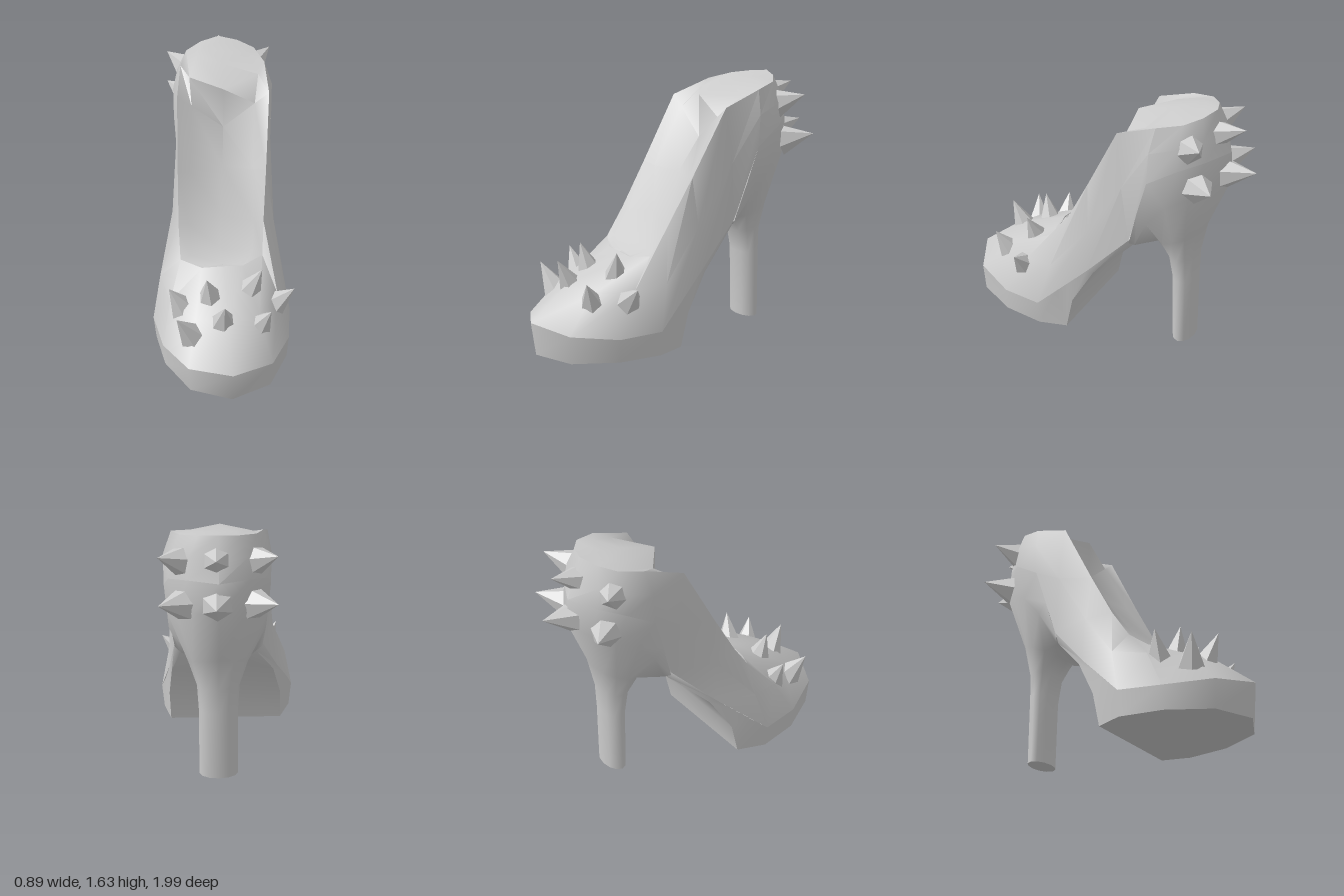
import * as THREE from 'three';
import { toCreasedNormals } from 'three/addons/utils/BufferGeometryUtils.js';

const material = new THREE.MeshStandardMaterial({ color: 0xcccccc, side: THREE.DoubleSide });
const spikeMaterial = new THREE.MeshStandardMaterial({ color: 0xcccccc, flatShading: true });

// The shoe curves gently towards +x at the heel
const centreX = z => 0.08 * THREE.MathUtils.clamp((0.25 - z) / 0.6, 0, 1);

// Mirrors a half ring of [z, y, halfWidth] (toe to heel) into a closed loop
function fullRing(half) {
  const point = ([z, y, w], s) => new THREE.Vector3(centreX(z) + s * w, y, z);
  return [...half.map(p => point(p, 1)), ...half.slice(1, -1).reverse().map(p => point(p, -1))];
}

// Skins a stack of rings, listed so that the outside faces outwards
function loft(name, halfRings, crease) {
  const rings = halfRings.map(fullRing);
  const n = rings[0].length;
  const positions = [], index = [];
  rings.forEach(r => r.forEach(p => positions.push(p.x, p.y, p.z)));
  for (let i = 0; i < rings.length - 1; i++) {
    for (let j = 0; j < n; j++) {
      const a = i * n + j, b = i * n + (j + 1) % n;
      index.push(a, b, b + n, a, b + n, a + n);
    }
  }
  const geometry = new THREE.BufferGeometry();
  geometry.setAttribute('position', new THREE.Float32BufferAttribute(positions, 3));
  geometry.setIndex(index);
  const mesh = new THREE.Mesh(toCreasedNormals(geometry, crease), material);
  mesh.name = name;
  return mesh;
}

const flatten = ring => ring.map(([z, y]) => [z, y, 0]);

// Tilted elliptical half ring for the heel stem
function heelRing(zFront, yFront, zBack, yBack, halfWidth) {
  return Array.from({ length: 7 }, (_, i) => {
    const a = i / 6 * Math.PI, t = (1 - Math.cos(a)) / 2;
    return [zFront + (zBack - zFront) * t, yFront + (yBack - yFront) * t, halfWidth * Math.sin(a)];
  });
}

function spike(base, tip, radius) {
  const from = new THREE.Vector3(...base), to = new THREE.Vector3(...tip);
  const axis = to.clone().sub(from);
  const mesh = new THREE.Mesh(new THREE.ConeGeometry(radius, axis.length(), 6), spikeMaterial);
  mesh.position.copy(from).add(to).multiplyScalar(0.5);
  mesh.quaternion.setFromUnitVectors(new THREE.Vector3(0, 1, 0), axis.normalize());
  mesh.name = 'spike';
  return mesh;
}

export function createModel() {
  const shoe = new THREE.Group();
  shoe.name = 'spikedHighHeel';

  // Upper: from the sole seam over the vamp and sides to the opening
  const seam = [[1, 0.215, 0], [0.87, 0.18, 0.26], [0.6, 0.15, 0.4], [0.33, 0.16, 0.445], [0, 0.47, 0.35],
    [-0.28, 0.76, 0.275], [-0.42, 1.22, 0.32], [-0.6, 1.33, 0.29], [-0.73, 1.37, 0.18], [-0.82, 1.38, 0]];
  const middle = [[0.74, 0.42, 0], [0.67, 0.4, 0.2], [0.47, 0.4, 0.34], [0.26, 0.44, 0.39], [0, 0.76, 0.32],
    [-0.24, 1.13, 0.305], [-0.43, 1.42, 0.32], [-0.6, 1.47, 0.28], [-0.71, 1.5, 0.17], [-0.77, 1.5, 0]];
  const rim = [[0.37, 0.57, 0], [0.36, 0.56, 0.13], [0.3, 0.59, 0.26], [0.18, 0.77, 0.27], [0.02, 1.06, 0.28],
    [-0.2, 1.48, 0.29], [-0.45, 1.57, 0.27], [-0.6, 1.6, 0.22], [-0.68, 1.62, 0.12], [-0.72, 1.635, 0]];
  shoe.add(loft('upper', [seam, middle, rim], 0.9));

  // Footbed: fills the opening just below the rim, hollow in front of the raised heel panel
  const footbedEdge = [[0.37, 0.56, 0], [0.35, 0.56, 0.1], [0.28, 0.61, 0.2], [0.17, 0.77, 0.21], [-0.01, 1.04, 0.2],
    [-0.2, 1.41, 0.2], [-0.36, 1.53, 0.22], [-0.52, 1.6, 0.16], [-0.6, 1.615, 0.1], [-0.65, 1.625, 0]];
  const footbedCentre = [[0.36, 0.55, 0], [0.34, 0.57, 0], [0.26, 0.63, 0], [0.12, 0.8, 0], [-0.06, 1.04, 0],
    [-0.2, 1.25, 0], [-0.2, 1.52, 0], [-0.42, 1.585, 0], [-0.55, 1.61, 0], [-0.65, 1.625, 0]];
  shoe.add(loft('footbed', [rim, footbedEdge, footbedCentre], 0.75));

  // Platform sole with the arch running up to the heel
  const soleTop = [...seam.slice(0, 4), [0.2, 0.282, 0.408], [0.12, 0.357, 0.385],
    [0, 0.47, 0.35], [-0.28, 0.76, 0.275], [-0.3, 0.76, 0]];
  const soleBottom = [[0.97, 0, 0], [0.86, 0, 0.25], [0.6, 0, 0.39], [0.33, 0, 0.43], [0.15, 0, 0.37],
    [0.1, 0.22, 0.37], [-0.04, 0.46, 0.33], [-0.28, 0.7, 0.24], [-0.3, 0.72, 0]];
  shoe.add(loft('platformSole', [flatten(soleBottom), soleBottom, soleTop], 0.95));

  // Heel: slim stem flaring into a cup under the back of the foot
  const stemBottom = heelRing(-0.495, 0, -0.635, 0, 0.12);
  const cup = [[-0.28, 0.7, 0], [-0.3, 0.71, 0.23], [-0.41, 0.93, 0.295], [-0.53, 1.07, 0.295],
    [-0.66, 1.14, 0.25], [-0.77, 1.18, 0.15], [-0.83, 1.2, 0]];
  const cupTop = [[-0.27, 0.7, 0], [-0.28, 0.74, 0.272], [-0.35, 0.99, 0.3], ...seam.slice(6)];
  shoe.add(loft('heel', [
    flatten(stemBottom), stemBottom,
    heelRing(-0.48, 0.45, -0.635, 0.45, 0.12),
    heelRing(-0.45, 0.6, -0.64, 0.62, 0.13),
    heelRing(-0.38, 0.69, -0.68, 0.83, 0.18),
    cup, cupTop,
  ], 1.2));

  // Spikes: two rows on the toe
  const toeSpikes = new THREE.Group();
  toeSpikes.name = 'toeSpikes';
  const toe = [
    [[-0.26, 0.36, 0.51], [-0.35, 0.54, 0.53]], [[-0.09, 0.43, 0.53], [-0.12, 0.63, 0.58]],
    [[0.15, 0.44, 0.48], [0.23, 0.64, 0.52]], [[0.31, 0.34, 0.49], [0.44, 0.46, 0.5]],
    [[-0.22, 0.3, 0.7], [-0.32, 0.48, 0.76]], [[-0.03, 0.37, 0.69], [-0.03, 0.57, 0.79]],
    [[0.19, 0.31, 0.67], [0.26, 0.49, 0.75]],
  ];
  toe.forEach(([base, tip]) => toeSpikes.add(spike(base, tip, 0.09)));
  shoe.add(toeSpikes);

  // Spikes: two rows of three around the back
  const heelSpikes = new THREE.Group();
  heelSpikes.name = 'heelSpikes';
  for (const [y, tipY, z] of [[1.45, 1.52, 0], [1.21, 1.26, -0.08]]) {
    heelSpikes.add(spike([0.09, y + 0.03, -0.7 + z], [0.1, tipY + 0.03, -0.91 + z], 0.1));
    for (const s of [-1, 1]) {
      heelSpikes.add(spike([0.08 + s * 0.2, y, -0.63 + z * 0.8], [0.085 + s * 0.34, tipY, -0.76 + z], 0.1));
    }
  }
  shoe.add(heelSpikes);
  return shoe;
}
